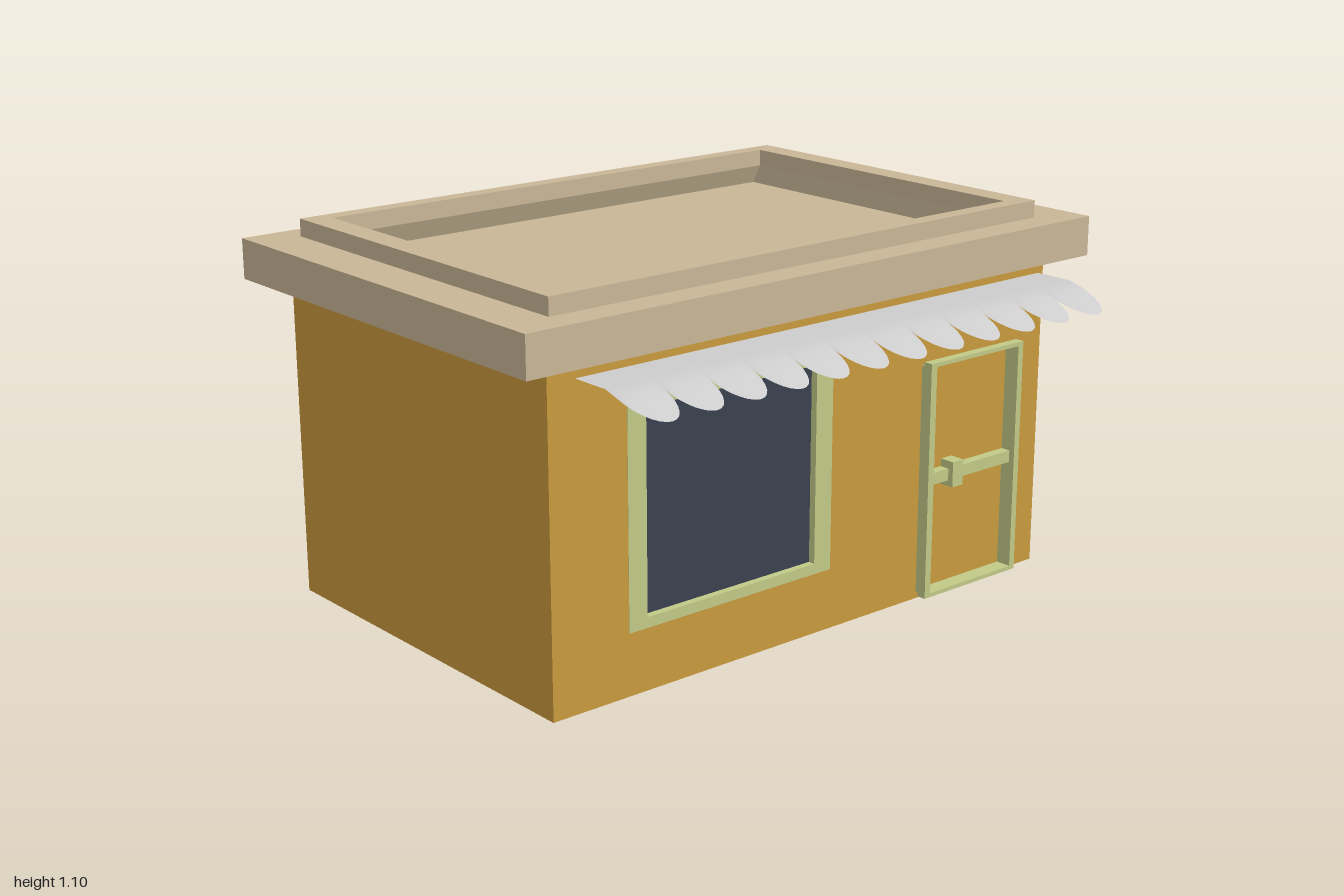
import * as THREE from 'three';

const mat = (color, extra = {}) => new THREE.MeshStandardMaterial({ color, ...extra });

// Extruded rectangle [x0, x1, y0, y1] with rectangular holes
function panel(r, holes, depth) {
  const corners = ([x0, x1, y0, y1]) => [[x0, y0], [x1, y0], [x1, y1], [x0, y1]].map(p => new THREE.Vector2(...p));
  const shape = new THREE.Shape(corners(r));
  holes.forEach(h => shape.holes.push(new THREE.Path(corners(h).reverse())));
  return new THREE.ExtrudeGeometry(shape, { depth, bevelEnabled: false });
}

// Box given by its limits
function block(x0, x1, y0, y1, z0, z1) {
  return new THREE.BoxGeometry(x1 - x0, y1 - y0, z1 - z0)
    .translate((x0 + x1) / 2, (y0 + y1) / 2, (z0 + z1) / 2);
}

// Sunken roof tray: sloped sides between two rectangles, plus a floor
function trayGeometry(top, topY, floor, floorY) {
  const ring = ([x0, x1, z0, z1], y) => [x0, y, z0, x1, y, z0, x1, y, z1, x0, y, z1];
  const g = new THREE.BufferGeometry();
  g.setAttribute('position', new THREE.Float32BufferAttribute([...ring(top, topY), ...ring(floor, floorY)], 3));
  const index = [4, 6, 5, 4, 7, 6];
  for (let i = 0; i < 4; i++) {
    const j = (i + 1) % 4;
    index.push(i, i + 4, j, j, i + 4, j + 4);
  }
  g.setIndex(index);
  const flat = g.toNonIndexed();
  flat.computeVertexNormals();
  return flat;
}

// Thin awning: flat strip at the wall, then drooping scallops
function awningGeometry() {
  const count = 12, seg = 14, rows = 5, x0 = -0.805, w = 1.675 / count;
  const g = new THREE.PlaneGeometry(1, 1, count * seg, rows);
  const p = g.attributes.position, cols = count * seg + 1;
  for (let i = 0; i < p.count; i++) {
    const c = i % cols, row = Math.floor(i / cols);
    const k = Math.min(Math.floor(c / seg), count - 1);
    const t = (c - k * seg) / seg;
    const arc = Math.max(0, Math.sin(Math.PI * t));
    const x = x0 + w * (k + 0.5 - 0.5 * Math.cos(Math.PI * t));
    if (row < 2) p.setXYZ(i, x, 0.885, [0.478, 0.6][row]);
    else {
      const f = (row - 2) / (rows - 2);
      p.setXYZ(i, x, 0.87 + 0.01 * arc - 0.05 * f * arc, 0.65 + 0.115 * f * arc);
    }
  }
  g.computeVertexNormals();
  return g;
}

export function createModel() {
  const model = new THREE.Group();
  model.name = 'smallShop';
  const wall = mat(0xc9993e), trim = mat(0xc0c987), glass = mat(0x3b4150), stone = mat(0xc8b696);
  const add = (name, geometry, material, parent = model) => {
    const mesh = new THREE.Mesh(geometry, material);
    mesh.name = name;
    parent.add(mesh);
    return mesh;
  };

  // Walls, with openings for the two windows
  const frontFrame = [-0.645, 0.06, 0.175, 0.8], frontPane = [-0.585, 0, 0.205, 0.77];
  const sideFrame = [-0.315, 0.53, 0.175, 0.8], sidePane = [-0.275, 0.49, 0.205, 0.77];
  add('wallCore', block(-0.89, 0.86, 0, 0.93, -0.7, 0.45), wall);
  add('frontWall', panel([-0.89, 0.89, 0, 0.93], [frontFrame], 0.03).translate(0, 0, 0.45), wall);
  add('sideWall', panel([-0.45, 0.7, 0, 0.93], [sideFrame], 0.03).rotateY(Math.PI / 2).translate(0.86, 0, 0), wall);

  // Windows: nearly flush frame around a recessed pane
  const makeWindow = (name, frame, pane) => {
    const group = new THREE.Group();
    group.name = name;
    add('windowFrame', panel(frame, [pane], 0.031), trim, group);
    add('windowGlass', panel(pane, [], 0.01), glass, group);
    model.add(group);
    return group;
  };
  makeWindow('frontWindow', frontFrame, frontPane).position.z = 0.45;
  const side = makeWindow('sideWindow', sideFrame, sidePane);
  side.rotation.y = Math.PI / 2;
  side.position.x = 0.86;

  // Door: stepped frame, middle rail and latch
  const door = new THREE.Group();
  door.name = 'door';
  model.add(door);
  const opening = [0.412, 0.745, 0.027, 0.698];
  add('doorFrame', panel([0.39, 0.765, 0.015, 0.71], [opening], 0.028).translate(0, 0, 0.5), trim, door);
  add('doorFrameBack', panel([0.402, 0.753, 0.02, 0.695], [[0.412, 0.745, 0.027, 0.688]], 0.022).translate(0, 0, 0.479), trim, door);
  add('doorRail', block(0.41, 0.747, 0.345, 0.38, 0.479, 0.51), trim, door);
  add('doorLatch', block(0.49, 0.532, 0.328, 0.403, 0.479, 0.527), trim, door);

  // Roof: wide slab, raised rim and sunken tray
  const roof = new THREE.Group();
  roof.name = 'roof';
  model.add(roof);
  const layer = (r, hole, y0, y1) => panel(r, [hole], y1 - y0).rotateX(-Math.PI / 2).translate(0, y0, 0);
  add('roofSlab', layer([-1, 1, -0.55, 0.77], [-0.8, 0.8, -0.41, 0.665], 0.93, 1.045), stone, roof);
  add('roofRim', layer([-0.865, 0.865, -0.46, 0.685], [-0.79, 0.79, -0.41, 0.635], 1.045, 1.095), stone, roof);
  add('roofTray', trayGeometry([-0.79, 0.79, -0.635, 0.41], 1.045, [-0.795, 0.785, -0.66, 0.385], 0.988),
    mat(0xc8b696, { side: THREE.DoubleSide }), roof);

  // Scalloped awning
  add('awning', awningGeometry(), mat(0xcccccc, { side: THREE.DoubleSide }));
  return model;
}
